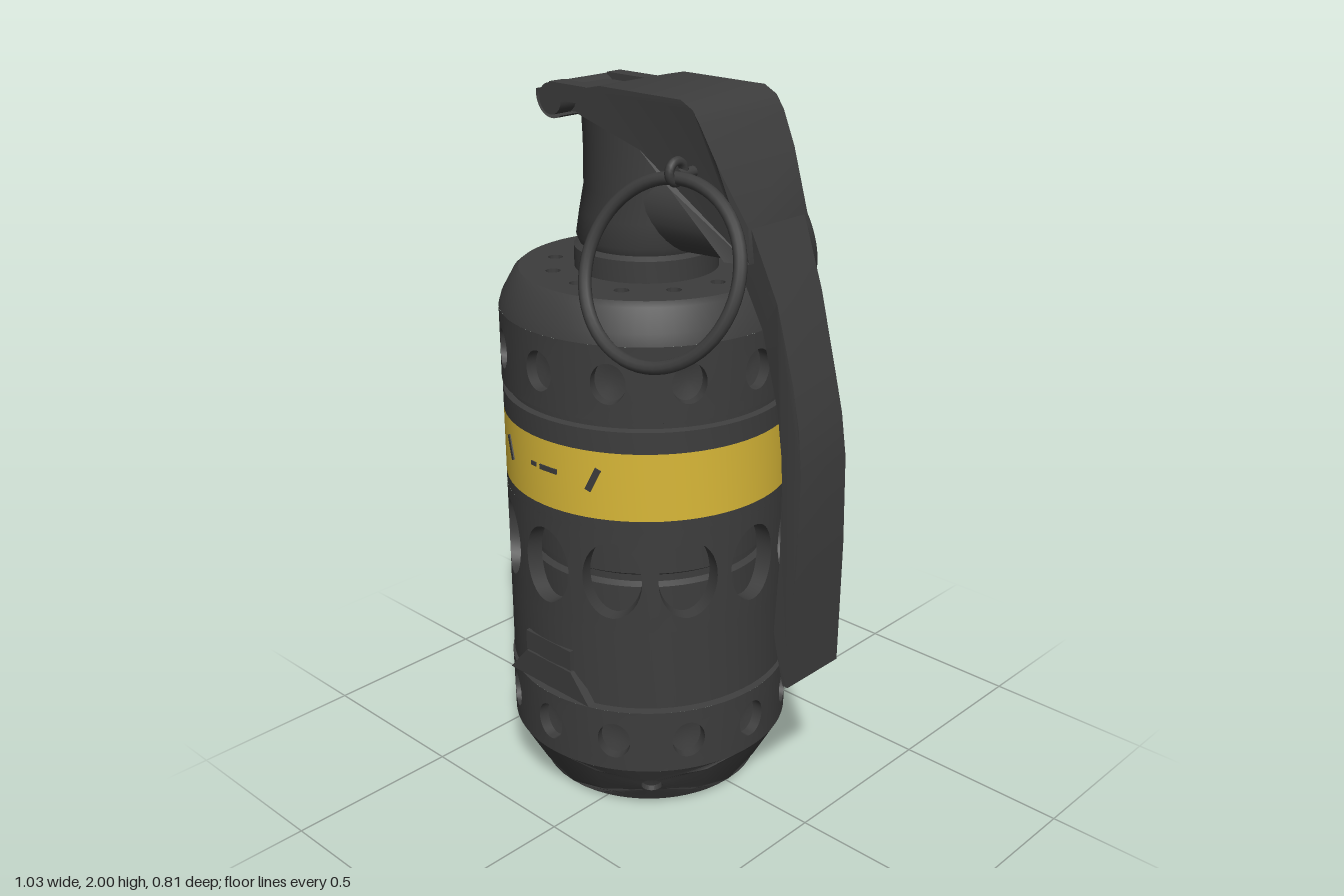
import * as THREE from 'three';
import { toCreasedNormals } from 'three/addons/utils/BufferGeometryUtils.js';

const dark = new THREE.MeshStandardMaterial({ color: 0x3d3d3d });
dark.name = 'dark grey metal';
const yellow = new THREE.MeshStandardMaterial({ color: 0xd9b838 });
yellow.name = 'yellow paint';
const darkOpen = new THREE.MeshStandardMaterial({ color: 0x3d3d3d, side: THREE.DoubleSide });
darkOpen.name = 'dark grey sheet';

const AXIS_X = -0.11; // centre line of the body

function add(parent, name, geo, mat = dark, x = 0, y = 0, z = 0) {
  const m = new THREE.Mesh(geo, mat);
  m.name = name;
  m.position.set(x, y, z);
  parent.add(m);
  return m;
}

function turned(points, segs = 72) {
  const pts = points.map(([r, y]) => new THREE.Vector2(r, y));
  return toCreasedNormals(new THREE.LatheGeometry(pts, segs), 0.5);
}

// Conical band from p0 to p1 with n oval holes; each tile is a set of loops
// running from its rectangular border to the hole rim, wall and floor.
function holedBand(p0, p1, n, { phase = 0, w, h, depth, floor = true, segs = 32 }) {
  const [dr, dy] = [p1[0] - p0[0], p1[1] - p0[1]];
  const len = Math.hypot(dr, dy);
  const midR = (p0[0] + p1[0]) / 2;
  const pos = [], idx = [];
  const loops = [[0, 0], [0.5, 0], [1, 0], [1, depth]];
  if (floor) loops.push([1.5, depth * 1.2], [1.999, depth * 1.3]);
  for (let t = 0; t < n; t++) {
    const base = pos.length / 3;
    const mid = phase + (t / n) * Math.PI * 2;
    loops.forEach(([k, d]) => {
      for (let i = 0; i < segs; i++) {
        const a = (i / segs) * Math.PI * 2, c = Math.cos(a), s = Math.sin(a);
        const q = 1 / Math.max(Math.abs(c), Math.abs(s));
        const b = Math.min(k, 1), shrink = k > 1 ? 2 - k : 1;
        const u = (c * q * (1 - b) * Math.PI) / n + (c * b * shrink * w) / midR;
        const v = 0.5 + s * q * (1 - b) * 0.5 + (s * b * shrink * h) / len;
        const r = p0[0] + dr * v - (d * dy) / len;
        const y = p0[1] + dy * v + (d * dr) / len;
        pos.push(r * Math.sin(mid + u), y, r * Math.cos(mid + u));
      }
    });
    for (let l = 0; l < loops.length - 1; l++) {
      for (let i = 0; i < segs; i++) {
        const j = (i + 1) % segs, o = base + l * segs, p = o + segs;
        idx.push(o + i, o + j, p + j, o + i, p + j, p + i);
      }
    }
  }
  const g = new THREE.BufferGeometry();
  g.setAttribute('position', new THREE.Float32BufferAttribute(pos, 3));
  g.setIndex(idx);
  return toCreasedNormals(g, 0.6);
}

// Side outline extruded across z, with the half width given by a rule of x and y
function sideProfile(points, halfWidth, crease = 0.5) {
  const shape = new THREE.Shape(points.map(([x, y]) => new THREE.Vector2(x, y)));
  const g = new THREE.ExtrudeGeometry(shape, { depth: 2, bevelEnabled: false });
  const p = g.attributes.position;
  for (let i = 0; i < p.count; i++) p.setZ(i, (p.getZ(i) - 1) * halfWidth(p.getX(i), p.getY(i)));
  return toCreasedNormals(g, crease);
}

function buildBody() {
  const body = new THREE.Group();
  body.name = 'body';
  body.position.x = AXIS_X;
  add(body, 'base', turned([[0, 0], [0.3, 0], [0.32, 0.01]]));
  add(body, 'baseChamfer', holedBand([0.32, 0.01], [0.403, 0.16], 4,
    { phase: Math.PI / 4, w: 0.03, h: 0.032, depth: 0.015, segs: 64 }));
  add(body, 'lowerHoleBand', holedBand([0.403, 0.16], [0.405, 0.35], 12, { w: 0.047, h: 0.055, depth: 0.03 }));
  add(body, 'lowerGroove', turned([[0.405, 0.35], [0.385, 0.354], [0.385, 0.36], [0.4, 0.366], [0.4, 0.6]]));
  add(body, 'windowBand', holedBand([0.4, 0.6], [0.4, 0.9], 12, { w: 0.083, h: 0.112, depth: 0.045, floor: false }));
  add(body, 'innerCore', turned([[0.345, 0.6], [0.345, 0.71], [0.33, 0.72], [0.33, 0.74], [0.345, 0.75], [0.345, 0.9]]));
  add(body, 'bandSeat', turned([[0.4, 0.9], [0.4, 0.93]]));
  add(body, 'yellowBand', turned([[0.4, 0.93], [0.4, 1.12]]), yellow);
  add(body, 'upperGroove', turned([[0.4, 1.12], [0.4, 1.18], [0.385, 1.185], [0.385, 1.2], [0.402, 1.207]]));
  add(body, 'upperHoleBand', holedBand([0.402, 1.207], [0.402, 1.41], 12, { w: 0.047, h: 0.055, depth: 0.03 }));
  add(body, 'shoulder', turned([[0.402, 1.41], [0.393, 1.44], [0.36, 1.5], [0.345, 1.512]]));
  add(body, 'topPlate', holedBand([0.345, 1.512], [0.17, 1.512], 12, { w: 0.02, h: 0.02, depth: 0.012 }));

  // Small painted dashes on the yellow band, front and back
  for (const side of [0, Math.PI]) {
    for (const [a, w, h, tilt] of [[-0.41, 0.018, 0.07, 0.45], [-0.08, 0.02, 0.012, 0], [0.06, 0.06, 0.014, 0], [0.41, 0.018, 0.07, -0.45]]) {
      const holder = new THREE.Group();
      holder.name = 'bandMark';
      holder.rotation.y = a + side;
      add(holder, 'dash', new THREE.BoxGeometry(w, h, 0.006), dark, 0, 1.04, 0.4).rotation.z = tilt;
      body.add(holder);
    }
  }

  // Catch at the foot of the front
  add(body, 'catchLip', new THREE.BoxGeometry(0.18, 0.06, 0.03), dark, 0, 0.485, 0.387);
  const ramp = new THREE.Shape([[-0.16, 0.37], [0.16, 0.37], [0.09, 0.45], [-0.09, 0.45]].map((p) => new THREE.Vector2(...p)));
  add(body, 'catchRamp', new THREE.ExtrudeGeometry(ramp, { depth: 0.025, bevelEnabled: false }), dark, 0, 0, 0.378);
  return body;
}

function buildHead() {
  const head = new THREE.Group();
  head.name = 'head';

  // Neck, round at the foot and flattened in z under the cover
  const neck = turned([[0.195, 1.505], [0.195, 1.57], [0.18, 1.58], [0.188, 1.6], [0.188, 1.66], [0.188, 1.72],
    [0.188, 1.84], [0.192, 1.93], [0.15, 1.955], [0, 1.955]], 48);
  const p = neck.attributes.position;
  for (let i = 0; i < p.count; i++) {
    p.setZ(i, p.getZ(i) * (1 - 0.25 * THREE.MathUtils.smoothstep(p.getY(i), 1.6, 1.74)));
  }
  add(head, 'neck', neck, dark, AXIS_X);
  add(head, 'neckStripe', new THREE.CylinderGeometry(0.197, 0.197, 0.012, 24, 1, true, Math.PI * 0.72, Math.PI * 0.4),
    yellow, AXIS_X, 1.56);

  // Spout reaching forward under the cover
  const spout = add(head, 'spout', new THREE.CylinderGeometry(0.105, 0.125, 0.36, 28), dark, 0.11, 1.695);
  spout.rotation.z = -Math.PI / 2;

  // Cover plate with its skirts
  add(head, 'cover', sideProfile([[-0.19, 1.985], [-0.2, 1.92], [0.02, 1.86], [0.12, 1.78], [0.29, 1.62], [0.35, 1.62],
    [0.345, 1.71], [0.27, 1.86], [0.225, 1.945], [0.2, 1.98], [0.16, 2], [-0.12, 2]],
  (x) => (x < 0.25 ? 0.155 : 0.155 - (x - 0.25) * 0.45)));

  // Long lever
  add(head, 'lever', sideProfile([[0.25, 1.66], [0.3, 1.6], [0.37, 1.45], [0.43, 1.25], [0.455, 1.1], [0.46, 0.85],
    [0.452, 0.64], [0.465, 0.58], [0.488, 0.49], [0.505, 0.49], [0.508, 0.65], [0.515, 0.85], [0.515, 1.1],
    [0.5, 1.22], [0.475, 1.33], [0.42, 1.53], [0.335, 1.73]],
  (x, y) => (y > 1.45 ? 0.08 + (y - 1.45) * 0.085 : 0.08 + Math.min((1.45 - y) * 0.03, 0.025))));

  // Hinge at the rear of the cover
  const axle = add(head, 'hingeAxle', new THREE.CylinderGeometry(0.042, 0.042, 0.24, 20), dark, -0.345, 1.937);
  axle.rotation.x = Math.PI / 2;
  const hook = add(head, 'hingeHook', new THREE.CylinderGeometry(0.06, 0.06, 0.23, 16, 1, true, -Math.PI / 2, Math.PI * 0.75),
    darkOpen, -0.345, 1.945);
  hook.rotation.x = Math.PI / 2;
  hook.rotation.y = -0.2;
  add(head, 'hingeBlock', new THREE.BoxGeometry(0.16, 0.07, 0.13), dark, -0.275, 1.935);
  for (const s of [-1, 1]) {
    add(head, 'hingeArm', new THREE.BoxGeometry(0.17, 0.045, 0.05), dark, -0.25, 1.962, s * 0.105);
  }
  return head;
}

// Pull ring with the eye and peg that hold it
function buildRing(name, [x, y, z], tilt, yaw, eyeX) {
  const g = new THREE.Group();
  g.name = name;
  const ring = add(g, 'ring', new THREE.TorusGeometry(0.23, 0.017, 10, 56), dark, x, y, z);
  ring.rotation.set(tilt, yaw, 0, 'YXZ');
  const s = Math.sign(z);
  const eye = add(g, 'eye', new THREE.TorusGeometry(0.026, 0.012, 8, 20), dark, eyeX, 1.838, s * 0.2);
  eye.rotation.y = Math.PI / 2;
  const peg = add(g, 'peg', new THREE.CylinderGeometry(0.014, 0.014, 0.1, 12), dark, eyeX, 1.83, s * 0.145);
  peg.rotation.x = Math.PI / 2;
  return g;
}

export function createModel() {
  const model = new THREE.Group();
  model.name = 'canister';
  model.add(buildBody(), buildHead());
  model.add(buildRing('frontRing', [0.215, 1.61, 0.285], -0.37, 0.1, 0.19));
  model.add(buildRing('backRing', [0.03, 1.625, -0.285], 0.37, -0.25, 0.05));
  return model;
}
